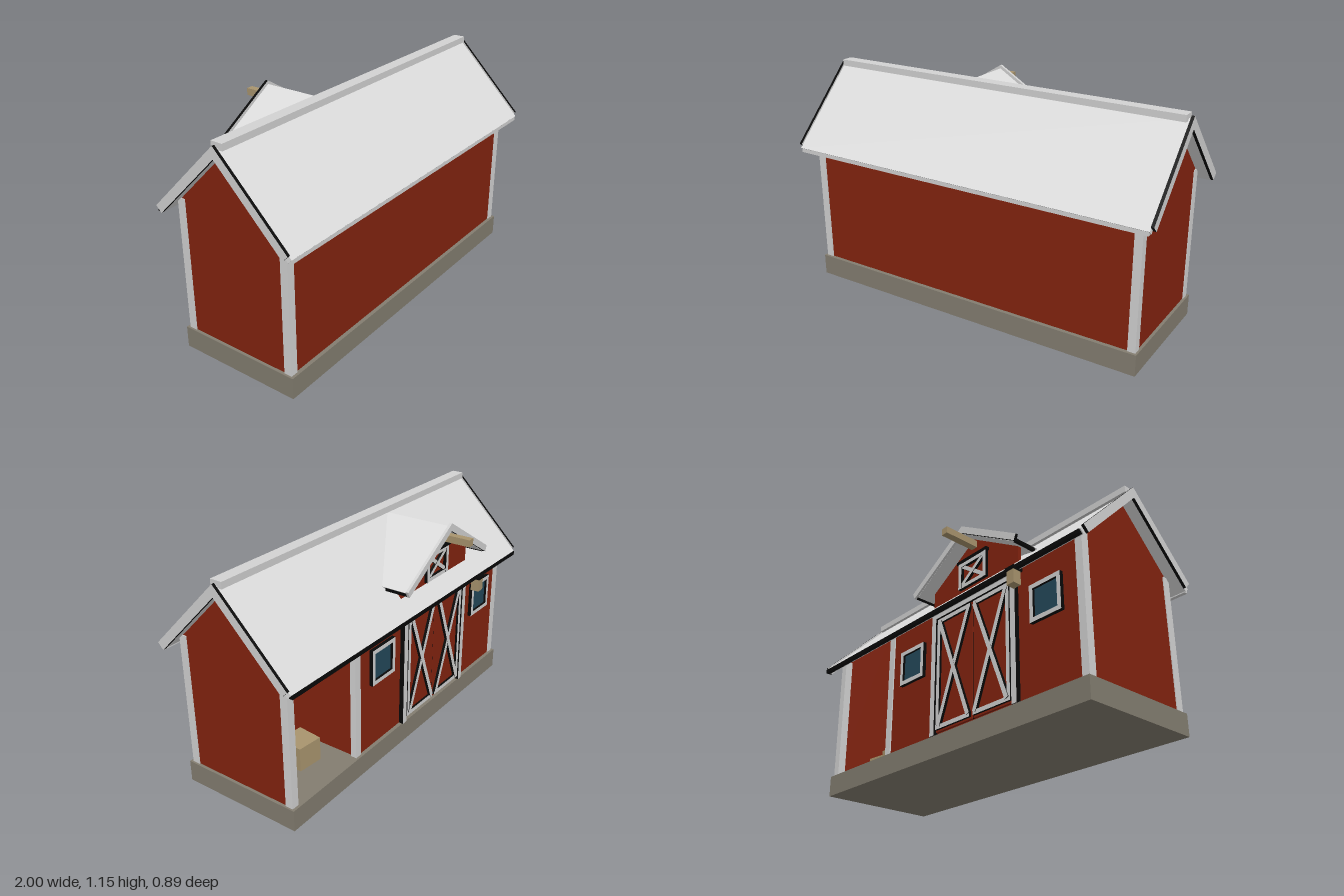
import * as THREE from 'three';

const mat = (name, color) => {
  const m = new THREE.MeshStandardMaterial({ color });
  m.name = name;
  return m;
};

export function createModel() {
  const barn = new THREE.Group();
  barn.name = 'barn';

  const red = mat('barn red', 0x83230f);
  const white = mat('trim white', 0xd2d2d2);
  const roofMat = mat('roof grey', 0xdcdcdc);
  const stone = mat('stone', 0x837d70);
  const tan = mat('timber tan', 0xa8946e);
  const glass = mat('window glass', 0x24485a);
  const black = mat('black edge', 0x080808);
  // white on the broad z faces, black on the narrow sides
  const edged = [black, black, black, black, white, white];

  const add = (name, geo, material, parent = barn) => {
    const m = new THREE.Mesh(geo, material);
    m.name = name;
    parent.add(m);
    return m;
  };
  // box from its minimum and maximum corners
  const box = (name, material, x0, x1, y0, y1, z0, z1, parent) => {
    const m = add(name, new THREE.BoxGeometry(x1 - x0, y1 - y0, z1 - z0), material, parent);
    m.position.set((x0 + x1) / 2, (y0 + y1) / 2, (z0 + z1) / 2);
    return m;
  };
  const shape = pts => new THREE.Shape(pts.map(p => new THREE.Vector2(p[0], p[1])));
  // (z, y) profile extruded from x0 to x1
  const alongX = (pts, x0, x1) => new THREE.ExtrudeGeometry(shape(pts), { depth: x1 - x0, bevelEnabled: false })
    .rotateY(-Math.PI / 2).translate(x1, 0, 0);
  // (x, y) profile extruded from z0 to z1
  const alongZ = (pts, z0, z1) => new THREE.ExtrudeGeometry(shape(pts), { depth: z1 - z0, bevelEnabled: false })
    .translate(0, 0, z0);
  // diagonal board across a rectangle on the back
  const diagonal = (name, xa, ya, xb, yb, width, z0, z1, parent) => {
    const dx = xb - xa, dy = yb - ya;
    const m = add(name, new THREE.BoxGeometry(Math.hypot(dx, dy), width, z1 - z0), edged, parent);
    m.position.set((xa + xb) / 2, (ya + yb) / 2, (z0 + z1) / 2);
    m.rotation.z = Math.atan2(dy, dx);
    return m;
  };
  // upside-down V profile: apex, upper height, lower height, slope, half width, perpendicular end cut
  const chevron = (c, top, low, slope, half, cut) => [
    [c - half, top - slope * half], [c - half + cut, low - slope * (half - cut)], [c, low],
    [c + half - cut, low - slope * (half - cut)], [c + half, top - slope * half], [c, top],
  ];

  // foundation
  box('foundation', stone, -0.94, 0.94, 0, 0.11, -0.265, 0.39);

  // walls, with an open bay at the back left corner
  const ridgeZ = 0.0625;
  const gable = [[-0.245, 0.11], [0.37, 0.11], [0.37, 0.785], [ridgeZ, 1.095], [-0.245, 0.785]];
  add('leftGableWall', alongX(gable, 0.905, 0.925), red);
  add('rightGableWall', alongX(gable, -0.925, -0.905), red);
  add('bayPartition', alongX(gable, 0.425, 0.445), red);
  box('frontWall', red, -0.905, 0.905, 0.11, 0.79, 0.35, 0.37);
  box('backWall', red, -0.905, 0.425, 0.11, 0.79, -0.245, -0.225);

  // corner posts and bay post
  for (const s of [-1, 1]) {
    const [a, b] = s > 0 ? [0.89, 0.93] : [-0.93, -0.89];
    box('frontCornerPost', white, a, b, 0.11, 0.8, 0.335, 0.376);
    box('backCornerPost', white, a, b, 0.11, 0.8, -0.251, -0.21);
  }
  box('bayPost', white, 0.415, 0.455, 0.11, 0.78, -0.252, -0.22);

  // main roof, rake boards, ridge cap and fascias
  add('mainRoof', alongX(chevron(ridgeZ, 1.135, 1.095, 1, 0.385, 0.02), -0.985, 0.985), roofMat);
  const rake = chevron(ridgeZ, 1.147, 1.087, 1, 0.378, 0.03);
  add('leftRakeBoard', alongX(rake, 0.985, 1), [white, black]);
  add('rightRakeBoard', alongX(rake, -1, -0.985), [white, black]);
  box('ridgeCap', white, -0.975, 0.975, 1.122, 1.155, 0.032, 0.095);
  box('frontFascia', white, -0.98, 0.98, 0.727, 0.747, 0.425, 0.445);
  box('backFascia', black, -0.98, 0.98, 0.73, 0.75, -0.327, -0.307);

  // double door with braced leaves
  const doorX = -0.23;
  const door = new THREE.Group();
  door.name = 'doubleDoor';
  barn.add(door);
  for (const s of [-1, 1]) {
    const at = (a, b) => s > 0 ? [doorX + a, doorX + b] : [doorX - b, doorX - a];
    box('doorLeaf', red, ...at(0.004, 0.265), 0.125, 0.735, -0.256, -0.24, door);
    box('doorPost', edged, ...at(0.268, 0.3), 0.11, 0.76, -0.27, -0.24, door);
    box('leafStile', edged, ...at(0.236, 0.258), 0.135, 0.725, -0.268, -0.254, door);
    box('leafTopRail', edged, ...at(0.012, 0.258), 0.705, 0.727, -0.268, -0.254, door);
    box('leafBottomRail', edged, ...at(0.012, 0.258), 0.135, 0.157, -0.268, -0.254, door);
    const [xa, xb] = at(0.022, 0.238);
    diagonal('leafBrace', xa, 0.15, xb, 0.71, 0.024, -0.272, -0.254, door);
    diagonal('leafBrace', xa, 0.71, xb, 0.15, 0.024, -0.271, -0.254, door);
  }
  box('doorGap', black, doorX - 0.004, doorX + 0.004, 0.125, 0.735, -0.252, -0.244, door);
  box('doorTrack', edged, doorX - 0.3, doorX + 0.3, 0.735, 0.76, -0.27, -0.24, door);

  // back windows
  for (const x of [0.24, -0.712]) {
    const w = new THREE.Group();
    w.name = 'window';
    w.position.set(x, 0.555, 0);
    barn.add(w);
    box('windowPane', glass, -0.08, 0.08, -0.08, 0.08, -0.252, -0.244, w);
    for (const s of [-1, 1]) {
      const [a, b] = s > 0 ? [0.073, 0.095] : [-0.095, -0.073];
      box('windowJamb', edged, a, b, -0.095, 0.095, -0.265, -0.24, w);
      box('windowRail', edged, -0.073, 0.073, a, b, -0.265, -0.24, w);
    }
  }

  // hanging lantern beside the door
  box('lanternBody', tan, -0.594, -0.548, 0.655, 0.725, -0.337, -0.291);
  box('lanternCap', black, -0.6, -0.542, 0.725, 0.742, -0.343, -0.285);

  // loft dormer: roof, rake board and wall
  const slope = 0.61;
  add('dormerRoof', alongZ(chevron(doorX, 1.117, 1.095, slope, 0.37, 0.01), -0.325, 0.05), roofMat);
  for (const s of [-1, 1]) {
    const half = [[0, 1.135], [0, 1.095], [0.37 * s, 0.872], [0.383 * s, 0.903]].map(p => [p[0] + doorX, p[1]]);
    add('dormerRake', alongZ(half, -0.337, -0.322), s > 0 ? white : [white, black]);
    box('dormerEave', black, doorX + s * 0.363 - 0.008, doorX + s * 0.363 + 0.008, 0.874, 0.889, -0.325, -0.2);
  }
  add('dormerWall', alongZ([[-0.31, 0.8], [0.31, 0.8], [0.31, 0.912], [0, 1.1], [-0.31, 0.912]]
    .map(p => [p[0] + doorX, p[1]]), -0.25, -0.23), red);

  // loft hatch
  const hatch = new THREE.Group();
  hatch.name = 'loftHatch';
  barn.add(hatch);
  for (const s of [-1, 1]) {
    const cx = doorX + s * 0.09;
    box('hatchStile', edged, cx - 0.011, cx + 0.011, 0.835, 0.98, -0.268, -0.245, hatch);
    diagonal('hatchBrace', doorX - 0.078, 0.91 - s * 0.055, doorX + 0.078, 0.91 + s * 0.055, 0.02, -0.264 + s * 0.001, -0.248, hatch);
  }
  box('hatchSill', edged, doorX - 0.08, doorX + 0.08, 0.835, 0.855, -0.267, -0.245, hatch);
  box('hatchRail', edged, doorX - 0.08, doorX + 0.08, 0.96, 0.98, -0.267, -0.245, hatch);
  box('hatchHeader', black, doorX - 0.11, doorX + 0.11, 0.98, 0.995, -0.272, -0.245, hatch);

  // hoist beam
  box('hoistBeam', tan, doorX - 0.019, doorX + 0.019, 1.04, 1.076, -0.447, -0.24);

  // crates in the open bay: x, y, z, turn
  for (const [x, y, z, turn] of [
    [0.79, 0.17, 0.0, 0.08], [0.62, 0.17, -0.04, -0.1], [0.62, 0.17, 0.12, 0], [0.63, 0.295, 0.12, 0.12],
  ]) {
    const c = add('crate', new THREE.BoxGeometry(0.135, 0.125, 0.135), tan);
    c.position.set(x, y + 0.0025, z);
    c.rotation.y = turn;
  }

  return barn;
}
